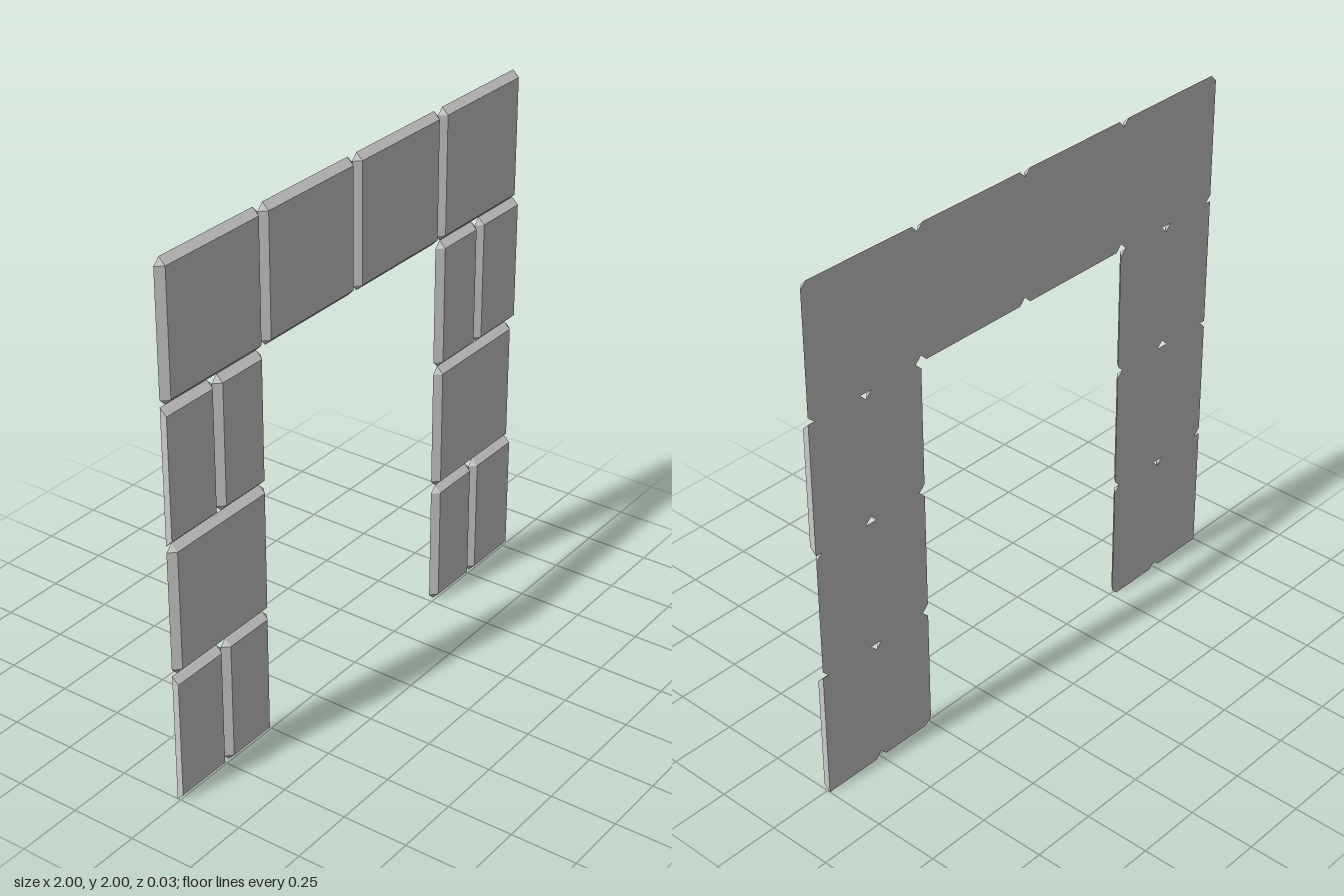
import * as THREE from 'three';
import { ConvexGeometry } from 'three/addons/geometries/ConvexGeometry.js';

const BEVEL = 0.025, HALF_DEPTH = 0.0125;

// Flat-backed stone with a chamfered front; a side marked as cut stays square.
function stoneGeometry(width, height, cutLeft = false, cutRight = false) {
  const points = [];
  for (const sx of [-1, 1]) {
    const cut = sx < 0 ? cutLeft : cutRight;
    const bx = cut ? 0 : BEVEL;
    const x = sx * width / 2, xIn = x - sx * bx;
    for (const sy of [-1, 1]) {
      const y = sy * height / 2, yIn = y - sy * BEVEL;
      points.push(new THREE.Vector3(xIn, yIn, HALF_DEPTH));
      points.push(new THREE.Vector3(xIn, y, -HALF_DEPTH));
      if (!cut) points.push(new THREE.Vector3(x, yIn, -HALF_DEPTH));
    }
  }
  return new ConvexGeometry(points);
}

export function createModel() {
  const group = new THREE.Group();
  const material = new THREE.MeshStandardMaterial({ color: 0xcccccc, flatShading: true });

  const add = (name, geometry, x, y) => {
    const mesh = new THREE.Mesh(geometry, material);
    mesh.name = name;
    mesh.position.set(x, y, 0);
    group.add(mesh);
  };

  const full = stoneGeometry(0.5, 0.5);
  const half = stoneGeometry(0.25, 0.5);
  const cutLeft = stoneGeometry(0.25, 0.5, true, false);
  const cutRight = stoneGeometry(0.25, 0.5, false, true);

  // lintel: four whole stones across the top
  for (let i = 0; i < 4; i++) add('lintelStone', full, -0.75 + i * 0.5, 1.75);

  // jambs: courses alternate between split and whole stones
  for (const side of [-1, 1]) {
    const name = side < 0 ? 'right' : 'left';
    for (let row = 0; row < 3; row++) {
      const y = 0.25 + row * 0.5;
      if (row === 1) {
        add(name + 'JambStone', full, side * 0.75, y);
      } else {
        add(name + 'OuterHalfStone', side < 0 ? cutLeft : cutRight, side * 0.875, y);
        // inner half stones are chamfered all round
        add(name + 'InnerHalfStone', half, side * 0.625, y);
      }
    }
  }
  return group;
}
